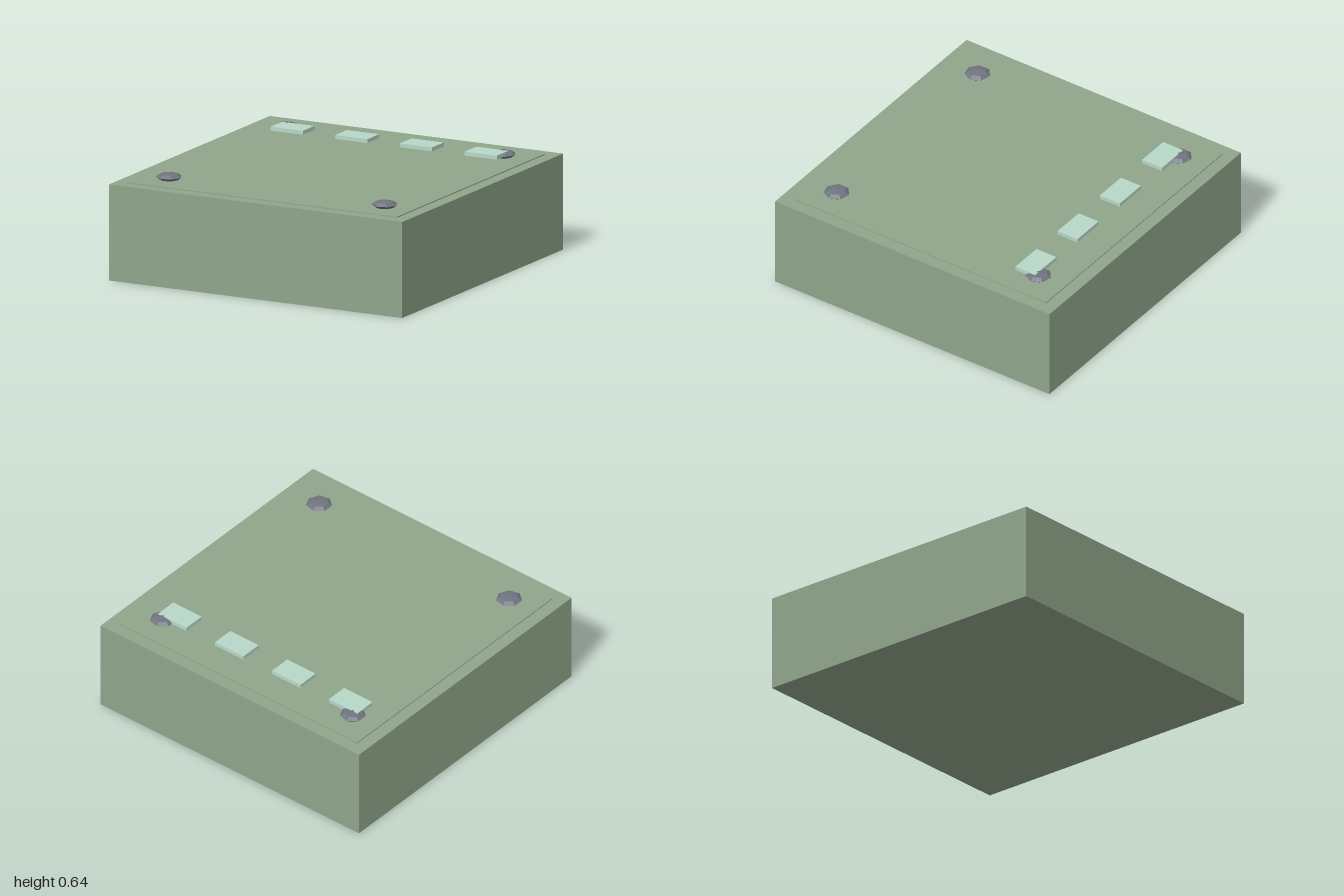
import * as THREE from 'three';

export function createModel() {
  const model = new THREE.Group();
  const green = new THREE.MeshStandardMaterial({ color: 0x8fa58a });
  const pale = new THREE.MeshStandardMaterial({ color: 0xb8d8c8 });
  const steel = new THREE.MeshStandardMaterial({ color: 0x70747f, flatShading: true });

  const add = (name, geometry, material, x, y, z) => {
    const mesh = new THREE.Mesh(geometry, material);
    mesh.name = name;
    mesh.position.set(x, y, z);
    model.add(mesh);
  };

  // Main block with a thin raised plate on top
  add('block', new THREE.BoxGeometry(2, 0.59, 2), green, 0, 0.295, 0);
  add('topPlate', new THREE.BoxGeometry(1.84, 0.016, 1.84), green, 0, 0.588, 0);

  // Flattened seven-sided bolt heads near the corners, one vertex towards +x
  const boltGeometry = new THREE.SphereGeometry(0.08, 7, 4).rotateY(Math.PI).scale(1, 0.3, 1);
  for (const x of [-0.735, 0.735])
    for (const z of [-0.735, 0.735])
      add('bolt', boltGeometry, steel, x, 0.613, z);

  // Row of pale tiles along the back, held slightly above the plate
  const tileGeometry = new THREE.BoxGeometry(0.22, 0.024, 0.145);
  for (let i = 0; i < 4; i++)
    add('tile', tileGeometry, pale, (i - 1.5) * 0.441, 0.624, -0.665);

  return model;
}
